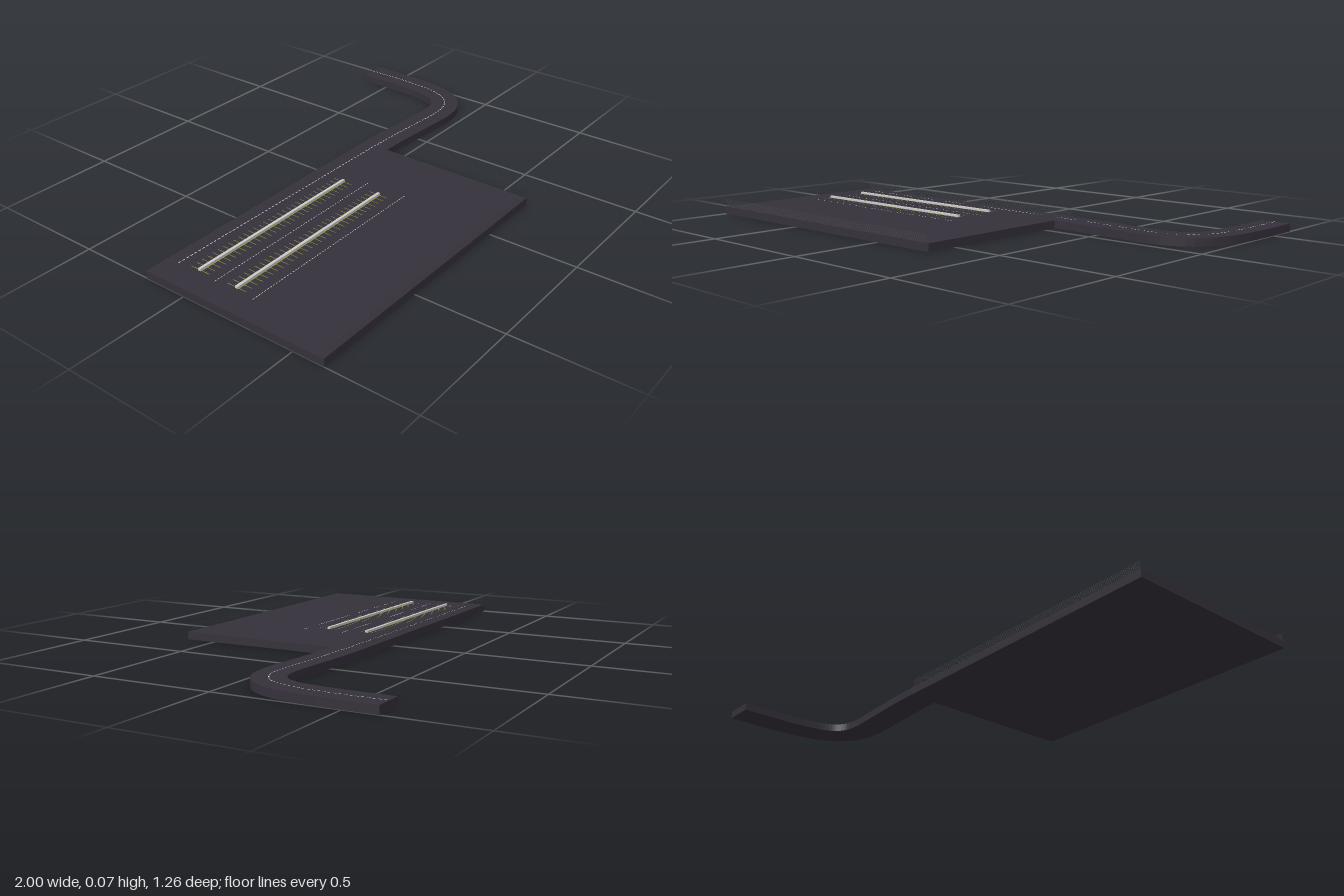
import * as THREE from 'three';
import { mergeGeometries } from 'three/addons/utils/BufferGeometryUtils.js';

const TOP = 0.032;
const material = (color) => new THREE.MeshStandardMaterial({ color, side: THREE.DoubleSide });
const asphalt = material(0x35313b);
const white = material(0xcccccc);
const yellow = material(0x9c9630);
const wire = material(0x4a4a4c);

function part(name, geometry, mat) {
  const mesh = new THREE.Mesh(geometry, mat);
  mesh.name = name;
  return mesh;
}

// Flat painted strip lying just above the ground, turned by angle about y
function strip(length, width, x, z, angle = 0) {
  return new THREE.PlaneGeometry(length, width)
    .rotateX(-Math.PI / 2).rotateY(angle).translate(x, TOP + 0.001, z);
}

// Flat outline in (x, z), raised into a slab standing on y = 0
function slab(points) {
  const shape = new THREE.Shape(points.map(([x, z]) => new THREE.Vector2(x, -z)));
  return new THREE.ExtrudeGeometry(shape, { depth: TOP, bevelEnabled: false }).rotateX(-Math.PI / 2);
}

// Points of a curve pushed sideways by a distance
function offset(curve, distance, steps) {
  return Array.from({ length: steps + 1 }, (_, i) => {
    const p = curve.getPointAt(i / steps);
    const t = curve.getTangentAt(i / steps);
    return [p.x - t.z * distance, p.z + t.x * distance];
  });
}

// Chain-link panel: two sets of thin slanted wires
function fenceGeometry(x0, x1, height, z) {
  const wires = [];
  const gap = 0.0108;
  const reach = height * 0.5;
  const count = Math.floor((x1 - x0 - reach) / gap);
  for (let i = 0; i <= count; i++) {
    for (const side of [-1, 1]) {
      const x = x0 + reach / 2 + i * gap;
      wires.push(new THREE.PlaneGeometry(0.0011, Math.hypot(height, reach))
        .rotateZ(side * Math.atan2(reach, height))
        .translate(x, TOP + height / 2, z));
    }
  }
  return mergeGeometries(wires);
}

export function createModel() {
  const model = new THREE.Group();
  model.name = 'parkingLot';

  // Paved lot
  model.add(part('lot', slab([[-1, 0.63], [0.28, 0.63], [0.28, -0.185], [-1, -0.185]]), asphalt));

  // Access road leaving the back corner and bending to the back
  const roadPath = new THREE.CatmullRomCurve3([
    [0.28, -0.122], [0.38, -0.12], [0.5, -0.113], [0.62, -0.105], [0.73, -0.101], [0.81, -0.115],
    [0.875, -0.162], [0.912, -0.235], [0.928, -0.32], [0.935, -0.42], [0.937, -0.53], [0.937, -0.633],
  ].map(([x, z]) => new THREE.Vector3(x, 0, z)));
  const roadHalf = 0.063;
  const outline = [...offset(roadPath, roadHalf, 48), ...offset(roadPath, -roadHalf, 48).reverse()];
  model.add(part('accessRoad', slab(outline), asphalt));

  // Dashed line down the lane and along the road
  const laneDashes = [];
  const lane = new THREE.CurvePath();
  lane.add(new THREE.LineCurve3(new THREE.Vector3(-0.9, 0, -0.13), new THREE.Vector3(0.28, 0, -0.124)));
  lane.add(roadPath);
  const dashCount = Math.floor(lane.getLength() / 0.02);
  for (let i = 0; i < dashCount; i++) {
    const u = (i + 0.5) / dashCount;
    const p = lane.getPointAt(u);
    const t = lane.getTangentAt(u);
    laneDashes.push(strip(0.012, 0.004, p.x, p.z, Math.atan2(-t.z, t.x)));
  }
  model.add(part('laneDashes', mergeGeometries(laneDashes), white));

  // Dashed lines between the parking rows
  for (const z of [0.055, 0.235]) {
    const dashes = [];
    for (let x = -0.9; x < 0; x += 0.015) dashes.push(strip(0.009, 0.003, x + 0.0045, z));
    model.add(part('aisleDashes', mergeGeometries(dashes), white));
  }

  // Parking rows: a low divider with stall lines on both sides
  for (const z of [-0.035, 0.145]) {
    const row = new THREE.Group();
    row.name = 'parkingRow';
    const divider = new THREE.BoxGeometry(0.83, 0.009, 0.012).translate(-0.47, TOP + 0.0045, z);
    row.add(part('divider', divider, white));
    const stalls = [strip(0.825, 0.019, -0.47, z)];
    for (let i = 0; i <= 30; i++) stalls.push(strip(0.0025, 0.09, -0.88 + i * 0.0273, z));
    row.add(part('stallLines', mergeGeometries(stalls), yellow));
    model.add(row);
  }

  // Wire fences along the back and front edges
  model.add(part('backFence', fenceGeometry(-1, 0.28, 0.033, -0.184), wire));
  model.add(part('frontFence', fenceGeometry(-1, 0.28, 0.033, 0.629), wire));

  return model;
}
